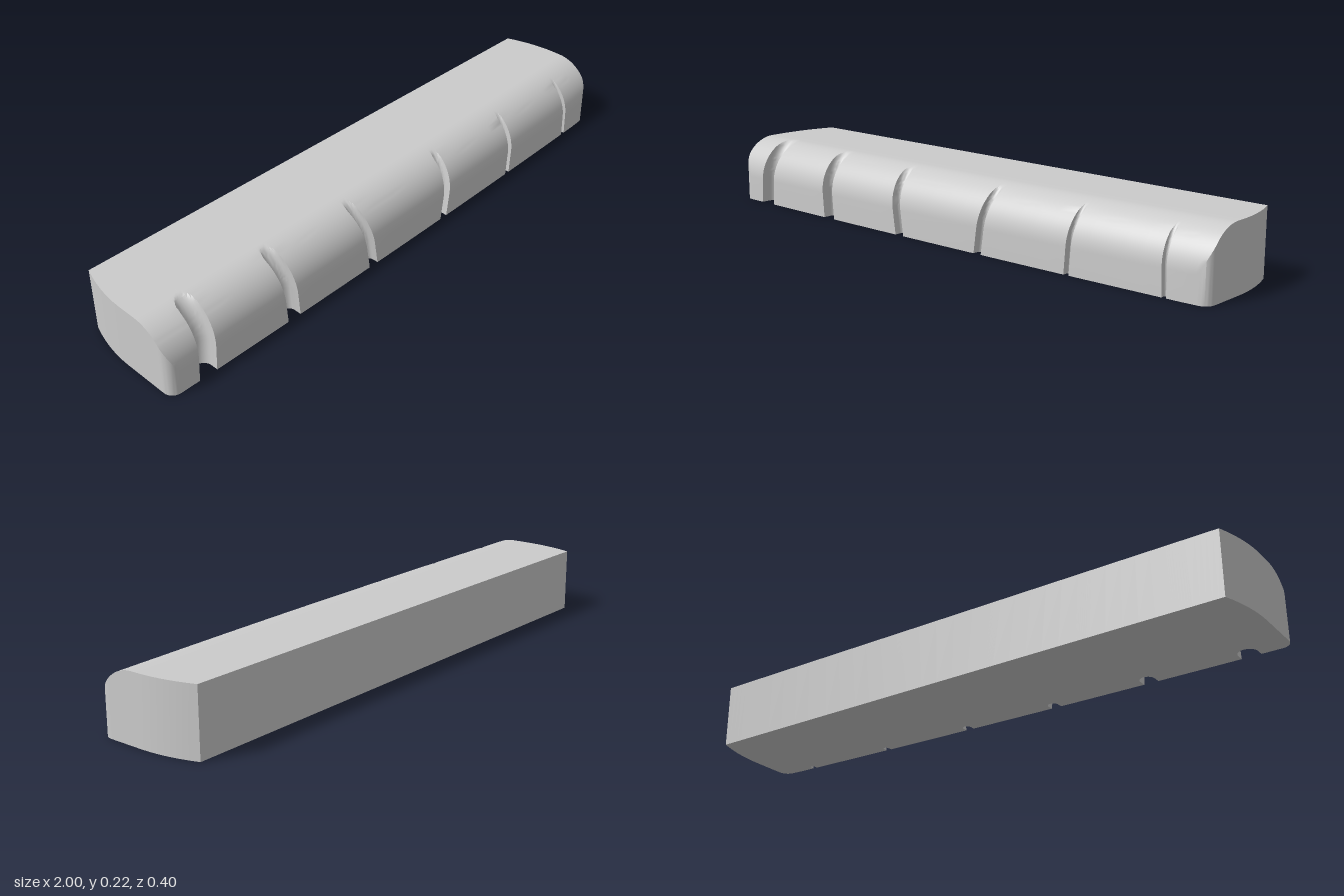
import * as THREE from 'three';
import { toCreasedNormals } from 'three/addons/utils/BufferGeometryUtils.js';

const HEIGHT = 0.22, BACK = -0.198, ROUND = 0.135, CORNER = 0.035;
const ARC = 20, TOP = 8;

// string slots: x at the bottom, lean towards the top, width, depth, angle where they run out
const SLOTS = [
  { x: -0.865, lean: 0.01, width: 0.064, depth: 0.058, end: 86 },
  { x: -0.525, lean: -0.016, width: 0.05, depth: 0.052, end: 81 },
  { x: -0.175, lean: -0.03, width: 0.036, depth: 0.038, end: 74 },
  { x: 0.17, lean: 0.03, width: 0.03, depth: 0.032, end: 69 },
  { x: 0.52, lean: 0.015, width: 0.019, depth: 0.024, end: 64 },
  { x: 0.86, lean: -0.006, width: 0.016, depth: 0.02, end: 60 },
];

// the front edge sweeps back towards +x
const frontZ = (s) => 0.198 - 0.011 * (s + 1) ** 2;

// x of a column at depth z: bowed ends and rounded front corners
function placeX(s, z) {
  const bow = z < 0 ? 1 - 0.037 * (z / BACK) ** 2 : 1;
  const into = Math.min(CORNER, Math.max(0, z - (frontZ(s) - CORNER)));
  const fillet = CORNER - Math.sqrt(CORNER * CORNER - into * into);
  const blend = Math.max(0, (Math.abs(s) - 0.92) / 0.08);
  return s * bow - Math.sign(s) * fillet * blend;
}

// columns along the length, with a U-shaped set of columns at each slot
function makeColumns() {
  const columns = [-1, -0.98, -0.96, -0.94, -0.92].map((s) => ({ s, lean: 0 }));
  SLOTS.forEach((slot, i) => {
    const r = slot.width / 2;
    columns.push({ s: slot.x - r, lean: slot.lean });
    for (let k = 0; k <= 10; k++) {
      const a = -Math.PI / 2 + (k / 10) * Math.PI;
      columns.push({ s: slot.x + r * Math.sin(a), lean: slot.lean, slot, drop: r * (1 - Math.cos(a)) });
    }
    columns.push({ s: slot.x + r, lean: slot.lean });
    const next = SLOTS[i + 1];
    if (!next) return;
    const from = slot.x + r, to = next.x - next.width / 2;
    for (let k = 1; k < 5; k++) {
      const t = k / 5;
      columns.push({ s: from + (to - from) * t, lean: slot.lean + (next.lean - slot.lean) * t });
    }
  });
  for (const s of [0.92, 0.94, 0.96, 0.98, 1]) columns.push({ s, lean: 0 });
  return columns;
}

// upper outline from the rounded front over the flat top to the back
function upperOutline(s) {
  const zf = frontZ(s), points = [];
  for (let i = 0; i <= ARC; i++) {
    const a = (i / ARC) * Math.PI / 2;
    points.push({ a, z: zf - ROUND * (1 - Math.cos(a)), y: HEIGHT - ROUND * (1 - Math.sin(a)) });
  }
  for (let i = 1; i <= TOP; i++) {
    const z = zf - ROUND;
    points.push({ a: Math.PI / 2, z: z + (BACK - z) * (i / TOP), y: HEIGHT });
  }
  return points;
}

// closed cross-section: underside, front, top, back
function section({ s, lean, slot, drop }) {
  const cut = (a) => {
    if (!slot) return 0;
    const t = Math.min(1, a / THREE.MathUtils.degToRad(slot.end));
    return Math.max(0, slot.depth * (1 - t * t) - drop);
  };
  const outline = upperOutline(s);
  const floorZ = frontZ(s) - cut(0);
  const point = (z, y) => [placeX(s, z) + lean * y / 0.21, y, z];
  const under = outline.map((p) => point(Math.min(p.z, floorZ), 0)).reverse();
  const over = outline.map((p) => {
    const d = cut(p.a);
    return point(p.z - d * Math.cos(p.a), p.y - d * Math.sin(p.a));
  });
  return [...under, ...over, under[0]];
}

function bodyGeometry() {
  const sections = makeColumns().map(section);
  const rows = sections[0].length, n = rows - 1;
  const positions = sections.flat(2), index = [];
  const quad = (a, b, c, d) => index.push(a, b, c, a, c, d);

  // skin around the length
  for (let c = 0; c < sections.length - 1; c++) {
    for (let r = 0; r < n; r++) {
      const i = c * rows + r, j = i + rows;
      quad(i, j, j + 1, i + 1);
    }
  }
  // bowed ends
  const half = n / 2, last = (sections.length - 1) * rows;
  for (let k = 0; k < half - 1; k++) {
    const low = half - 1 - k, high = half + k;
    quad(last + low, last + low - 1, last + high + 1, last + high);
    quad(low - 1, low, high, high + 1);
  }

  const geometry = new THREE.BufferGeometry();
  geometry.setAttribute('position', new THREE.Float32BufferAttribute(positions, 3));
  geometry.setIndex(index);
  return toCreasedNormals(geometry, 0.6);
}

export function createModel() {
  const model = new THREE.Group();
  model.name = 'stringNut';
  const body = new THREE.Mesh(bodyGeometry(), new THREE.MeshStandardMaterial({ color: 0xcccccc }));
  body.name = 'slottedBody';
  model.add(body);
  return model;
}
